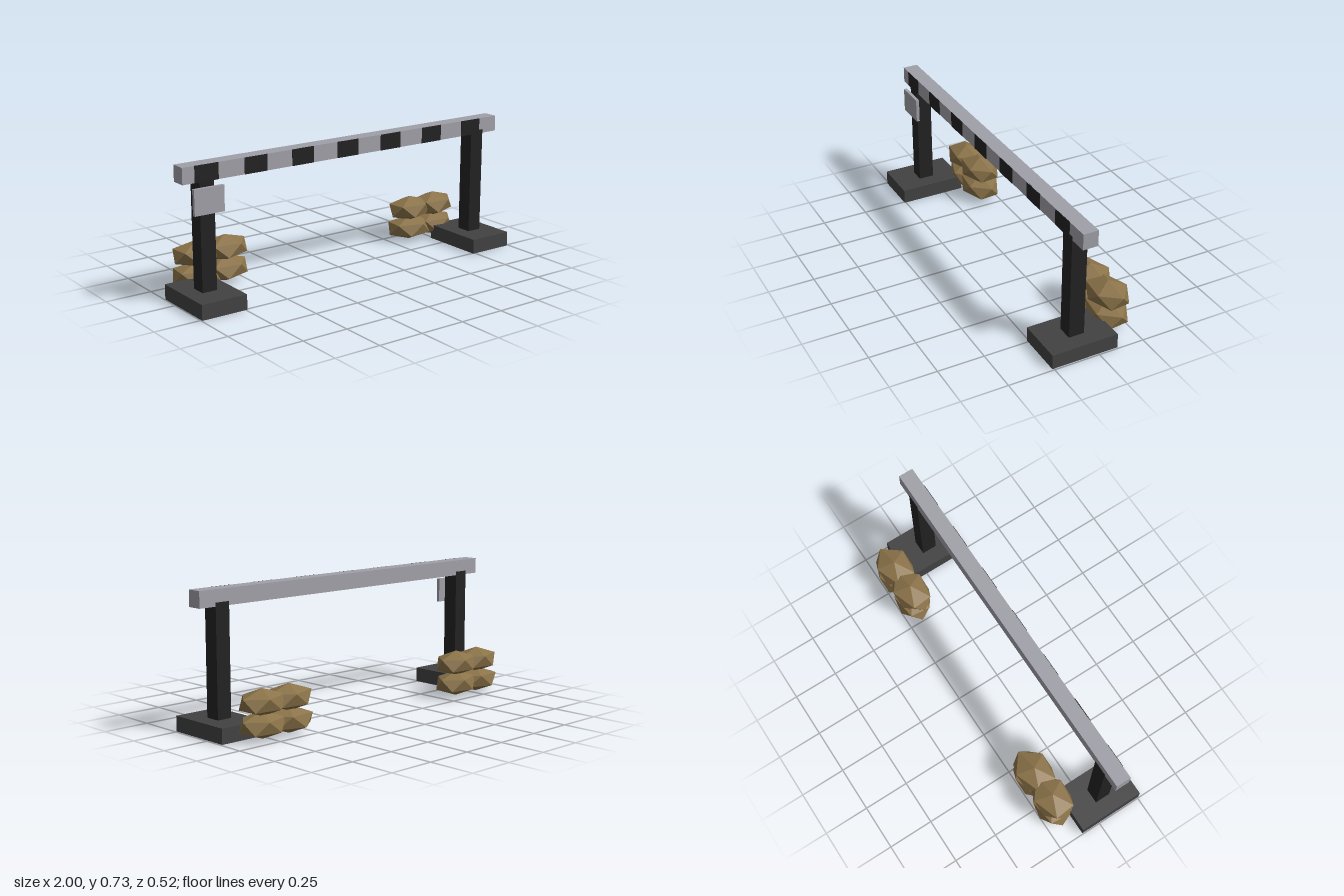
import * as THREE from 'three';

const paint = (color, flatShading = false) => new THREE.MeshStandardMaterial({ color, flatShading });

export function createModel() {
  const group = new THREE.Group();
  const silver = paint(0xa0a0a8);
  const black = paint(0x222222);
  const concrete = paint(0x424242);
  const sack = paint(0x8b7349, true);

  // Box given by its extents along each axis
  const box = (name, material, [x0, x1], [y0, y1], [z0, z1]) => {
    const mesh = new THREE.Mesh(new THREE.BoxGeometry(x1 - x0, y1 - y0, z1 - z0), material);
    mesh.position.set((x0 + x1) / 2, (y0 + y1) / 2, (z0 + z1) / 2);
    mesh.name = name;
    group.add(mesh);
  };

  // Feet and posts
  for (const [side, x] of [['right', -0.868], ['left', 0.864]]) {
    box(side + 'Base', concrete, [x - 0.127, x + 0.127], [0, 0.08], [-0.107, 0.258]);
    box(side + 'Post', black, [x - 0.041, x + 0.041], [0.08, 0.66], [0.034, 0.1185]);
  }

  // Crossbar with dark stripes on its front
  box('crossbar', silver, [-1, 1], [0.64, 0.725], [0.036, 0.1175]);
  for (let i = 0; i < 7; i++) {
    const x = -0.867 + i * 0.28;
    box('stripe', black, [x - 0.066, x + 0.066], [0.64, 0.725], [0.115, 0.1198]);
  }

  // Sign plate in front of the right post
  box('signPlate', silver, [-0.952, -0.785], [0.482, 0.615], [0.124, 0.142]);

  // Sandbags: flattened icosahedra standing on a vertex, two by two
  const bag = new THREE.IcosahedronGeometry(1, 0);
  bag.rotateZ(-Math.atan(2 / (1 + Math.sqrt(5))));
  bag.scale(0.145, 0.07, 0.106);
  const yaw = [[-0.1, 0.1], [0.1, 0.12]];
  for (const [side, x] of [['right', -0.695], ['left', 0.705]]) {
    const pile = new THREE.Group();
    pile.name = side + 'Sandbags';
    for (let row = 0; row < 2; row++) {
      for (let col = 0; col < 2; col++) {
        const mesh = new THREE.Mesh(bag, sack);
        mesh.name = 'sandbag';
        mesh.position.set(x + (col - 0.5) * 0.17, 0.075 + row * 0.112, -0.165);
        mesh.rotation.y = yaw[row][col];
        pile.add(mesh);
      }
    }
    group.add(pile);
  }
  return group;
}
